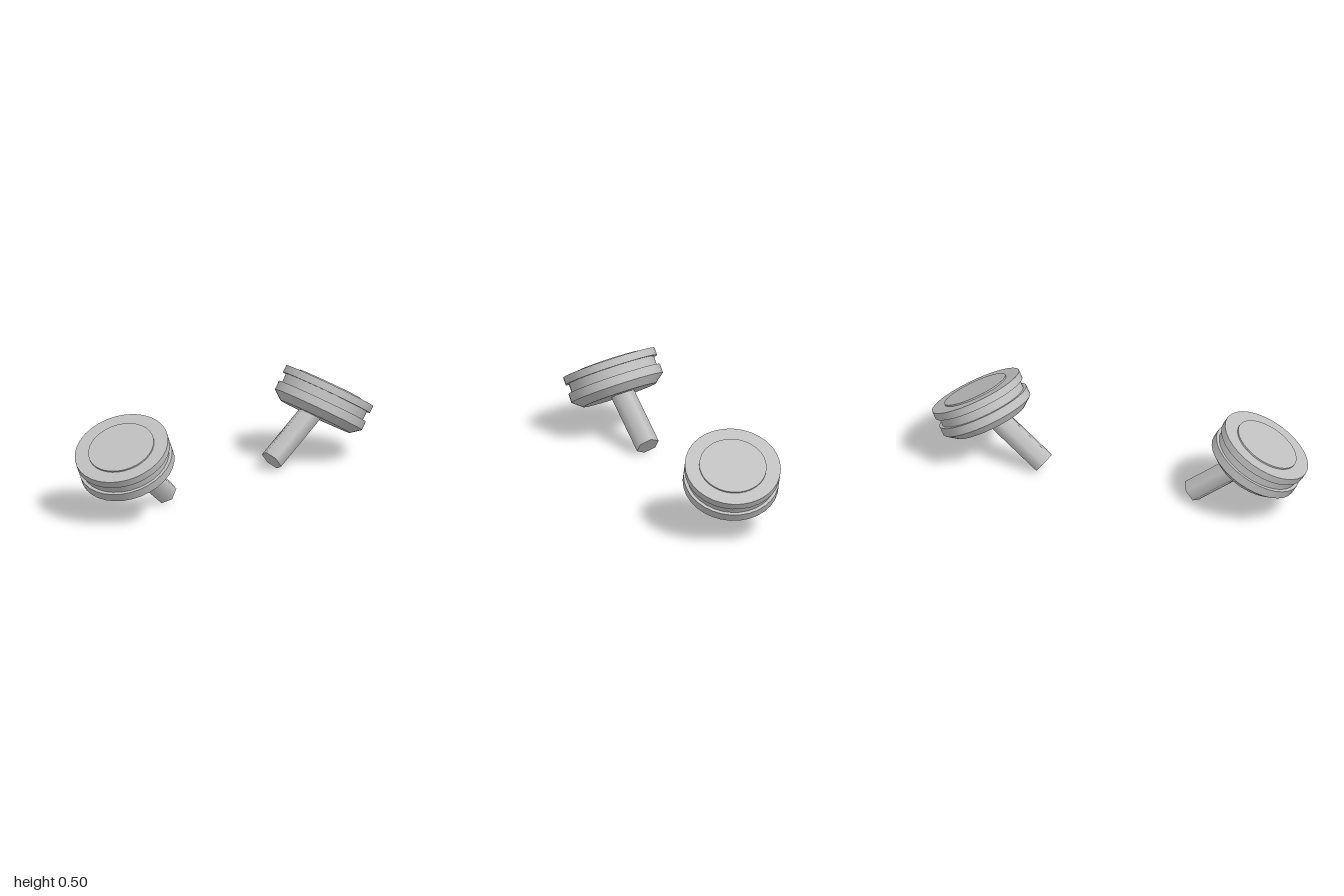
import * as THREE from 'three';

// Layers of the round head: name, top radius, bottom radius, depth of top and bottom below the rim face
const LAYERS = [
  ['raisedFace', 0.172, 0.172, -0.008, 0.01],
  ['topFlange', 0.245, 0.245, 0, 0.04],
  ['grooveCore', 0.228, 0.228, 0.04, 0.09],
  ['lowerFlange', 0.245, 0.245, 0.088, 0.135],
  ['bottomBevel', 0.245, 0.195, 0.135, 0.175],
];

export function createModel() {
  const grey = new THREE.MeshStandardMaterial({ color: 0xc0c0c0 });
  grey.name = 'grey';
  const model = new THREE.Group();
  model.name = 'knobPair';

  for (const [name, s] of [['leftKnob', 1], ['rightKnob', -1]]) {
    const knob = new THREE.Group();
    knob.name = name;

    // Head: coaxial discs tilted outward and slightly forward
    const head = new THREE.Group();
    head.name = 'head';
    head.position.set(s * 0.785, 0.372, 0.007);
    const headAxis = new THREE.Vector3(s * 0.494, 0.86, 0.125).normalize();
    head.quaternion.setFromUnitVectors(new THREE.Vector3(0, 1, 0), headAxis);
    for (const [part, rTop, rBottom, from, to] of LAYERS) {
      const disc = new THREE.Mesh(new THREE.CylinderGeometry(rTop, rBottom, to - from, 32), grey);
      disc.name = part;
      disc.position.y = -(from + to) / 2;
      head.add(disc);
    }
    knob.add(head);

    // Stem: six-sided peg with one corner pointing down, running up into the head
    const length = 0.4;
    const axis = new THREE.Vector3(s * 0.795, 0.6, 0.08).normalize();
    const down = new THREE.Vector3(0, -1, 0).addScaledVector(axis, axis.y).normalize();
    const across = new THREE.Vector3().crossVectors(axis, down);
    const stem = new THREE.Mesh(new THREE.CylinderGeometry(0.061, 0.061, length, 6), grey);
    stem.name = 'stem';
    stem.quaternion.setFromRotationMatrix(new THREE.Matrix4().makeBasis(across, axis, down));
    stem.position.set(s * 0.398, 0.0485, -0.04).addScaledVector(axis, length / 2);
    knob.add(stem);

    model.add(knob);
  }
  return model;
}
